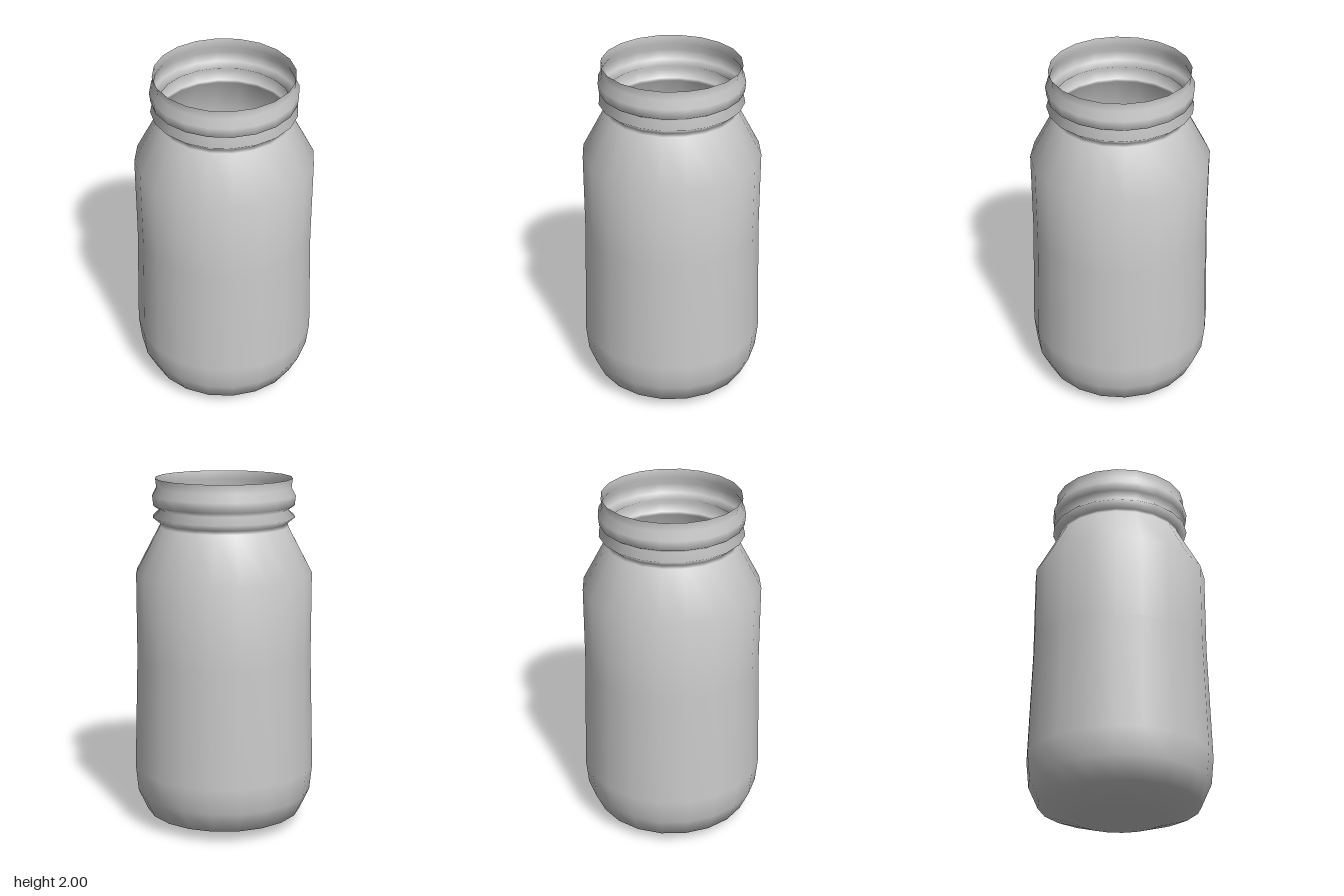
import * as THREE from 'three';

const SIDES = 20;

// Thin-walled open jar: one smooth surface turned around the y axis
export function createModel() {
  const group = new THREE.Group();
  group.name = 'jar';
  const material = new THREE.MeshStandardMaterial({ color: 0xcccccc, side: THREE.DoubleSide });

  const profile = [
    // base and rounded heel
    [0, 0], [0.26, 0.005], [0.45, 0.07], [0.505, 0.19], [0.52, 0.34],
    // side wall and shoulder
    [0.5, 1.0], [0.5, 1.475], [0.365, 1.73],
    // lower bead and groove
    [0.36, 1.75], [0.402, 1.785], [0.36, 1.825],
    // screw band and open rim
    [0.398, 1.85], [0.404, 1.905], [0.38, 1.95], [0.386, 2],
  ].map(([r, y]) => new THREE.Vector2(r, y));

  const body = new THREE.Mesh(new THREE.LatheGeometry(profile, SIDES), material);
  body.name = 'jarBody';
  group.add(body);
  return group;
}
